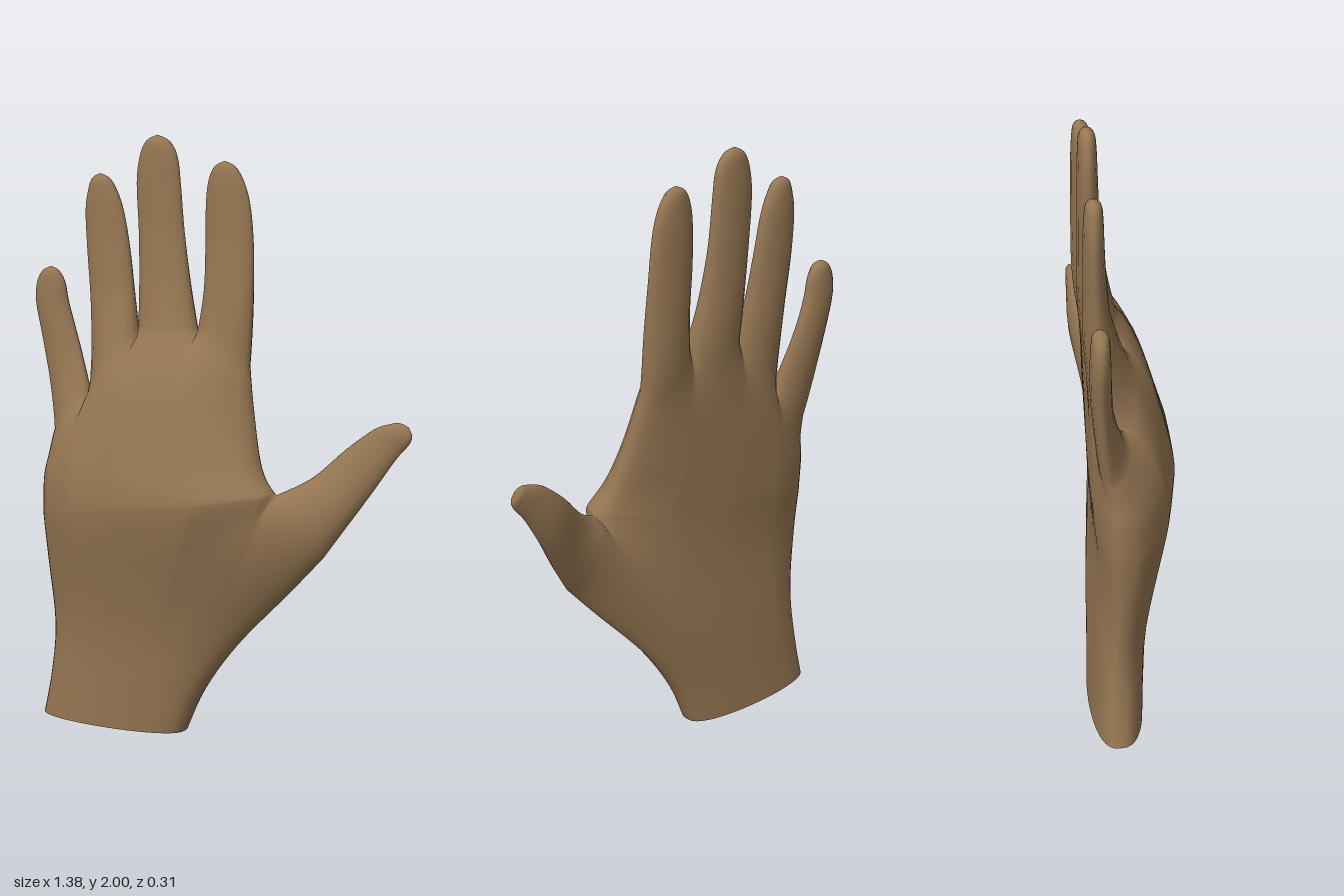
import * as THREE from 'three';
import { mergeVertices } from 'three/addons/utils/BufferGeometryUtils.js';

// A section is [leftX, leftY, leftZ, rightX, rightY, rightZ, frontBulge, backBulge].
// A row is a list of [x, y, frontZ, backZ] points running from left to right.

const COLS = 8;
const OVAL = 0.5; // section shape of fingers and thumb
const FULL = 0.38; // squarer section shape of the palm
const { lerp, smoothstep } = THREE.MathUtils;

// Column fractions bunched at both ends, to follow rounded sections
const roundFractions = Array.from({ length: COLS + 1 }, (_, i) => (1 - Math.cos((Math.PI * i) / COLS)) / 2);

function sectionRow(s, fractions, shape) {
  return fractions.map((f) => {
    const bulge = Math.max(0, 1 - (2 * f - 1) ** 2) ** shape;
    const z = lerp(s[2], s[5], f);
    return [lerp(s[0], s[3], f), lerp(s[1], s[4], f), z + s[6] * bulge, z - s[7] * bulge];
  });
}

// Smooth curve through the sections
function sectionAt(sections, t) {
  const last = sections.length - 1;
  const k = Math.min(Math.floor(t * last), last - 1);
  const u = t * last - k;
  const at = (i) => sections[Math.min(Math.max(i, 0), last)];
  return sections[k].map((b, j) => {
    const a = at(k - 1)[j], c = at(k + 1)[j], d = at(k + 2)[j];
    return b + 0.5 * u * (c - a + u * (2 * a - 5 * b + 4 * c - d + u * (3 * (b - c) + d - a)));
  });
}

// Rows through the sections; the last ones bend towards endRow where the surface branches
function loft(sections, fractions, shape, steps, endRow) {
  const straightEnd = sectionRow(sections[sections.length - 1], fractions, shape);
  const rows = [];
  for (let i = 0; i <= steps; i++) {
    const t = i / steps;
    const row = sectionRow(sectionAt(sections, t), fractions, shape);
    if (endRow) {
      row.forEach((p, c) => {
        for (let j = 0; j < 4; j++) p[j] += (endRow[c][j] - straightEnd[c][j]) * t ** (j < 2 ? 2 : 8);
      });
    }
    rows.push(row);
  }
  return rows;
}

// Front and back sheets of a loft
function addSkin(positions, rows) {
  for (let r = 0; r + 1 < rows.length; r++) {
    for (let c = 0; c + 1 < rows[r].length; c++) {
      const quad = [rows[r][c], rows[r][c + 1], rows[r + 1][c + 1], rows[r + 1][c]];
      for (const i of [0, 1, 2, 0, 2, 3]) positions.push(quad[i][0], quad[i][1], quad[i][2]);
      for (const i of [0, 2, 1, 0, 3, 2]) positions.push(quad[i][0], quad[i][1], quad[i][3]);
    }
  }
}

// Soften the depth of the palm where its lofts meet, leaving the outline, wrist and fingertips alone
function relaxPalm(geometry, passes) {
  const pos = geometry.attributes.position;
  const index = geometry.index.array;
  const points = Array.from({ length: pos.count }, (_, v) => new THREE.Vector3().fromBufferAttribute(pos, v));
  const pulls = points.map(() => new Map());
  for (let i = 0; i < index.length; i += 3) {
    for (let j = 0; j < 3; j++) {
      const a = index[i + j], b = index[i + ((j + 1) % 3)];
      if (a === b) continue;
      const pull = 1 / points[a].distanceTo(points[b]);
      pulls[a].set(b, pull);
      pulls[b].set(a, pull);
    }
  }
  for (let pass = 0; pass < passes; pass++) {
    const depth = points.map(({ x, y, z }, v) => {
      let sum = 0, total = 0;
      pulls[v].forEach((pull, n) => {
        sum += pull * points[n].z;
        total += pull;
      });
      const weight = smoothstep(y, 0.1, 0.5) * (1 - smoothstep(y, 1.0, 1.45)) * (1 - smoothstep(x, 0.32, 0.55));
      return total ? lerp(z, sum / total, weight) : z;
    });
    depth.forEach((z, v) => { points[v].z = z; });
  }
  points.forEach((p, v) => pos.setZ(v, p.z));
}

// Join rows that share their end point
const joinRows = (rows) => rows.reduce((all, row) => all.concat(all.length ? row.slice(1) : row), []);

// Fractions of a row along x
function xFractions(row) {
  const x0 = row[0][0], x1 = row[row.length - 1][0];
  return row.map((p) => (p[0] - x0) / (x1 - x0));
}

// Finger outlines, [leftX, leftY, rightX, rightY] from root to tip
const fingers = [
  { // little finger
    rootBulge: 0.085,
    outline: [
      [-0.6, 1.0, -0.455, 1.12], [-0.63, 1.15, -0.5, 1.25], [-0.665, 1.31, -0.54, 1.36],
      [-0.69, 1.43, -0.565, 1.44], [-0.685, 1.5, -0.577, 1.5], [-0.662, 1.54, -0.602, 1.54], [-0.632, 1.555, -0.632, 1.555],
    ],
  },
  { // ring finger
    rootBulge: 0.1,
    outline: [
      [-0.455, 1.12, -0.275, 1.34], [-0.464, 1.4, -0.3, 1.47], [-0.484, 1.6, -0.322, 1.62],
      [-0.492, 1.74, -0.345, 1.74], [-0.482, 1.81, -0.37, 1.81], [-0.465, 1.855, -0.4, 1.855], [-0.435, 1.872, -0.435, 1.872],
    ],
  },
  { // middle finger
    rootBulge: 0.065,
    outline: [
      [-0.275, 1.34, -0.055, 1.36], [-0.28, 1.5, -0.088, 1.5], [-0.288, 1.68, -0.118, 1.68],
      [-0.297, 1.84, -0.133, 1.84], [-0.285, 1.93, -0.145, 1.93], [-0.26, 1.98, -0.175, 1.98], [-0.22, 2.0, -0.22, 2.0],
    ],
  },
  { // index finger
    rootBulge: 0.06,
    outline: [
      [-0.055, 1.36, 0.135, 1.26], [-0.04, 1.5, 0.137, 1.46], [-0.042, 1.65, 0.133, 1.63],
      [-0.042, 1.77, 0.12, 1.77], [-0.033, 1.85, 0.097, 1.85], [-0.01, 1.9, 0.064, 1.9], [0.027, 1.918, 0.027, 1.918],
    ],
  },
];

// Depth of a finger from root to tip
const fingerZ = [-0.09, -0.105, -0.118, -0.12, -0.12, -0.12, -0.12];
const fingerFront = [0, 0.045, 0.037, 0.032, 0.029, 0.022, 0];
const fingerBack = [0.06, 0.048, 0.034, 0.031, 0.028, 0.022, 0];

const fingerSections = fingers.map(({ rootBulge, outline }) =>
  outline.map(([lx, ly, rx, ry], i) => [
    lx, ly, fingerZ[i], rx, ry, fingerZ[i], i === 0 ? rootBulge : fingerFront[i], fingerBack[i],
  ]));

const thumbSections = [
  [0.27, 0.86, 0.015, 0.42, 0.66, -0.04, 0.07, 0.105],
  [0.37, 0.915, -0.05, 0.49, 0.765, -0.065, 0.06, 0.065],
  [0.47, 1.01, -0.095, 0.565, 0.88, -0.095, 0.037, 0.04],
  [0.56, 1.08, -0.11, 0.637, 0.99, -0.11, 0.023, 0.023],
  [0.61, 1.1, -0.112, 0.675, 1.035, -0.112, 0.019, 0.019],
  [0.645, 1.106, -0.114, 0.687, 1.062, -0.114, 0.014, 0.014],
  [0.676, 1.094, -0.115, 0.676, 1.094, -0.115, 0, 0],
];

// Upper palm, from the thumb crotch to the finger roots
const upperPalmSections = [
  [-0.62, 0.72, -0.06, 0.27, 0.86, 0.015, 0.19, 0.1],
  [-0.62, 0.84, -0.07, 0.21, 0.94, -0.03, 0.192, 0.083],
  [-0.608, 0.92, -0.075, 0.165, 1.1, -0.075, 0.17, 0.065],
  [-0.6, 1.0, -0.09, 0.135, 1.26, -0.09, 0.145, 0.055],
];

// Lower palm, from the open wrist to the thumb root
const lowerPalmSections = [
  [-0.637, 0, -0.065, -0.09, 0, -0.065, 0.097, 0.082],
  [-0.605, 0.15, -0.065, -0.02, 0.15, -0.065, 0.105, 0.076],
  [-0.588, 0.33, -0.065, 0.11, 0.33, -0.065, 0.123, 0.07],
  [-0.605, 0.55, -0.065, 0.3, 0.53, -0.06, 0.177, 0.055],
  [-0.62, 0.72, -0.06, 0.42, 0.66, -0.04, 0.215, 0.073],
];

export function createModel() {
  const skin = new THREE.MeshStandardMaterial({ color: 0x957652, side: THREE.DoubleSide });
  skin.name = 'brown skin';
  const positions = [];

  // Rows where the palm branches into fingers, and into upper palm and thumb
  const knuckleRow = joinRows(fingerSections.map((s) => sectionRow(s[0], roundFractions, OVAL)));
  const palmFractions = xFractions(knuckleRow);
  const thumbRow = joinRows([
    sectionRow(upperPalmSections[0], palmFractions, FULL),
    sectionRow(thumbSections[0], roundFractions, OVAL),
  ]);

  addSkin(positions, loft(lowerPalmSections, xFractions(thumbRow), FULL, 20, thumbRow));
  addSkin(positions, loft(upperPalmSections, palmFractions, FULL, 16, knuckleRow));
  for (const sections of [thumbSections, ...fingerSections]) {
    addSkin(positions, loft(sections, roundFractions, OVAL, 24));
  }

  // One continuous smooth surface
  let geometry = new THREE.BufferGeometry();
  geometry.setAttribute('position', new THREE.Float32BufferAttribute(positions, 3));
  geometry = mergeVertices(geometry, 1e-4);
  relaxPalm(geometry, 10);
  geometry.computeVertexNormals();

  const hand = new THREE.Mesh(geometry, skin);
  hand.name = 'hand';
  const group = new THREE.Group();
  group.name = 'openHand';
  group.add(hand);
  return group;
}
